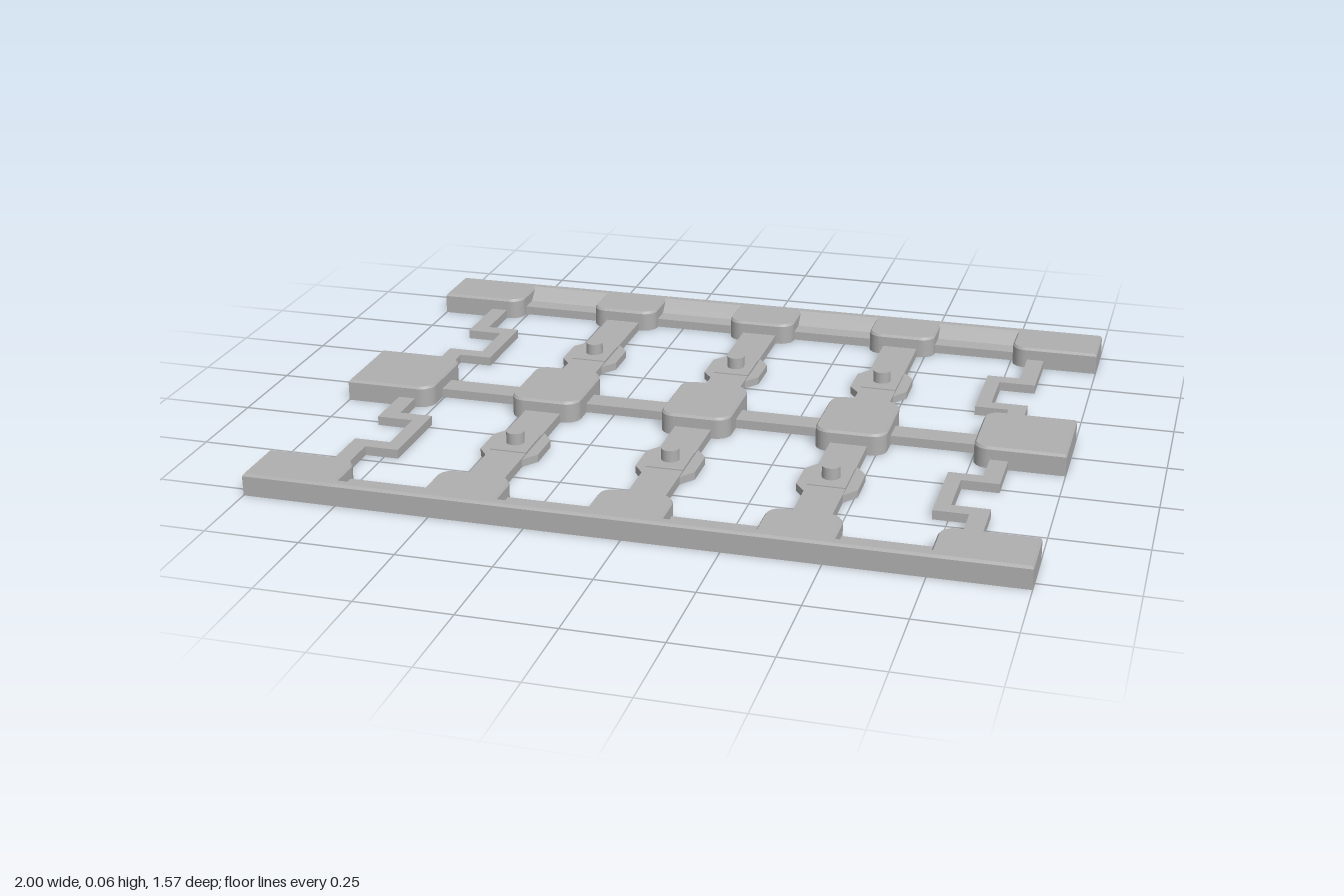
import * as THREE from 'three';

const H = 0.06;      // pad and rail height
const RIB = 0.025;   // low rib height
const X = 1, Z = 0.785;

export function createModel() {
  const model = new THREE.Group();
  model.name = 'gridFrame';
  const grey = new THREE.MeshStandardMaterial({ color: 0xb0b0b0 });

  const add = (name, geometry) => {
    const mesh = new THREE.Mesh(geometry, grey);
    mesh.name = name;
    model.add(mesh);
    return mesh;
  };
  const box = (name, w, h, d, x, z) =>
    add(name, new THREE.BoxGeometry(w, h, d).translate(x, h / 2, z));

  // Extrude a plan outline given as [x, z] points
  const plate = (name, points, height) => {
    const shape = new THREE.Shape(points.map(([x, z]) => new THREE.Vector2(x, -z)));
    const geometry = new THREE.ExtrudeGeometry(shape, { depth: height, bevelEnabled: false });
    return add(name, geometry.rotateX(-Math.PI / 2));
  };

  // Pad with a chamfered top; corners on the outer border stay square
  const pad = (x0, x1, z0, z1) => {
    const r = 0.04, bevel = 0.007;
    const corners = [[x0, -z1, 0], [x1, -z1, 1], [x1, -z0, 2], [x0, -z0, 3]];
    const dirs = [[0, -1], [1, 0], [0, 1], [-1, 0]];
    const shape = new THREE.Shape();
    corners.forEach(([x, y, i]) => {
      const square = Math.abs(x) > 0.99 || Math.abs(y) > 0.78;
      const k = square ? 0 : r;
      const a = dirs[i], b = dirs[(i + 1) % 4];
      const start = [x - a[0] * k, y - a[1] * k];
      if (i === 0) shape.moveTo(...start); else shape.lineTo(...start);
      if (k) {
        const cx = start[0] + b[0] * k, cy = start[1] + b[1] * k;
        const from = Math.atan2(-b[1], -b[0]);
        shape.absarc(cx, cy, k, from, from + Math.PI / 2, false);
      }
    });
    shape.closePath();
    const geometry = new THREE.ExtrudeGeometry(shape, {
      depth: H - bevel, bevelThickness: bevel, bevelSize: 0.005, bevelOffset: -0.005,
      bevelSegments: 1, curveSegments: 5,
    });
    // Flatten the lower bevel so the underside is flush, keeping the foot full size
    const p = geometry.attributes.position;
    for (let i = 0; i < p.count; i++) p.setZ(i, Math.max(0, p.getZ(i)));
    geometry.computeVertexNormals();
    add('pad', geometry.rotateX(-Math.PI / 2));
  };

  // Three rows of five pads
  const columns = [[-X, -0.755], [-0.524, -0.33], [-0.097, 0.097], [0.33, 0.524], [0.755, X]];
  const rows = [[-Z, -0.623], [-0.122, 0.122], [0.623, Z]];
  for (const [z0, z1] of rows) for (const [x0, x1] of columns) pad(x0, x1, z0, z1);

  // Ribs joining the pads
  box('crossRib', 1.9, RIB, 0.07, 0, 0);
  for (const x of [-0.427, 0, 0.427]) {
    box('longRib', 0.1, RIB, 1.4, x, 0);
    for (const s of [-1, 1]) {
      const z = 0.342 * s;
      // Octagonal widening with a raised seat and a peg
      plate('pegPlate', [
        [x - 0.08, z - 0.05], [x - 0.05, z - 0.09], [x + 0.05, z - 0.09], [x + 0.08, z - 0.05],
        [x + 0.08, z + 0.05], [x + 0.05, z + 0.09], [x - 0.05, z + 0.09], [x - 0.08, z + 0.05],
      ], 0.021);
      box('pegSeat', 0.1, 0.028, 0.12, x, z);
      add('peg', new THREE.CylinderGeometry(0.024, 0.024, H, 24).translate(x, H / 2, z));
    }
  }

  for (const s of [-1, 1]) {
    // Outer rail with a sloped inner face
    const profile = [[0.67, 0], [Z, 0], [Z, H - 0.007], [Z - 0.005, H], [0.76, H], [0.724, RIB], [0.67, RIB]];
    const shape = new THREE.Shape(profile.map(([z, y]) => new THREE.Vector2(-z * s, y)));
    const rail = new THREE.ExtrudeGeometry(shape, { depth: 1.98, bevelEnabled: false });
    add('edgeRail', rail.translate(0, 0, -0.99).rotateY(Math.PI / 2));

    // Zigzag side links
    for (const t of [-1, 1]) {
      plate('sideLink', [
        [0.85, 0.66], [0.85, 0.425], [0.75, 0.425], [0.75, 0.27], [0.85, 0.27], [0.85, 0.1],
        [0.802, 0.1], [0.802, 0.228], [0.71, 0.228], [0.71, 0.468], [0.802, 0.468], [0.802, 0.66],
      ].map(([x, z]) => [x * s, z * t]), RIB);
    }
  }
  return model;
}
